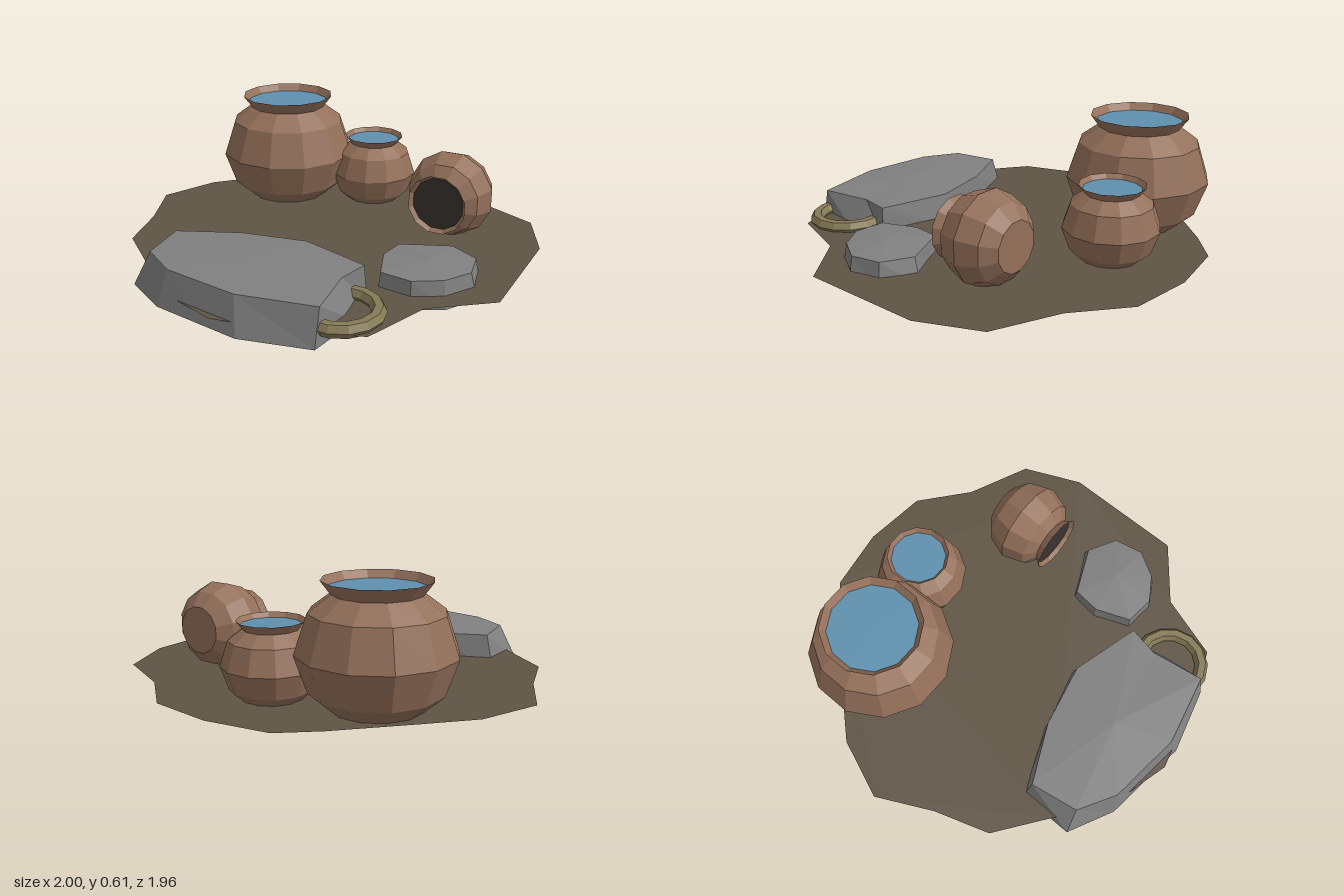
import * as THREE from 'three';

const paint = (color) => new THREE.MeshStandardMaterial({ color, flatShading: true, side: THREE.DoubleSide });
const clay = paint(0x94705a);
const soil = paint(0x5f5445);
const stone = paint(0x808080);
const water = paint(0x5f90ae);
const dark = paint(0x3a3330);
const brass = paint(0x857a55);

function part(name, geometry, material) {
  const mesh = new THREE.Mesh(geometry, material);
  mesh.name = name;
  return mesh;
}

// Twelve-sided round pot with a flared lip and a disc filling its mouth
function makePot(name, scale, fillName, fillMaterial) {
  const pot = new THREE.Group();
  pot.name = name;
  const profile = [
    [0, 0], [0.19, 0], [0.295, 0.09], [0.353, 0.255], [0.295, 0.43], [0.195, 0.505], [0.24, 0.565],
  ].map(([r, y]) => new THREE.Vector2(r, y));
  const body = part('potBody', new THREE.LatheGeometry(profile, 12), clay);
  const fill = part(fillName, new THREE.CircleGeometry(0.212, 12).rotateX(-Math.PI / 2), fillMaterial);
  fill.position.y = 0.53;
  body.rotation.y = fill.rotation.y = Math.PI / 12;
  pot.add(body, fill);
  pot.scale.setScalar(scale);
  return pot;
}

// Open-bottomed stone: sloping sides between two outlines and a shallow peaked top
function makeStone(name, base, top, height, peak) {
  const pos = [];
  const n = base.length;
  for (let i = 0; i < n; i++) {
    const j = (i + 1) % n;
    const bi = [base[i][0], 0, base[i][1]];
    const bj = [base[j][0], 0, base[j][1]];
    const ti = [top[i][0], height, top[i][1]];
    const tj = [top[j][0], height, top[j][1]];
    pos.push(...bi, ...ti, ...tj, ...bi, ...tj, ...bj, ...peak, ...tj, ...ti);
  }
  const geo = new THREE.BufferGeometry();
  geo.setAttribute('position', new THREE.Float32BufferAttribute(pos, 3));
  geo.computeVertexNormals();
  return part(name, geo, stone);
}

export function createModel() {
  const model = new THREE.Group();
  model.name = 'potsAndStones';

  // Flat irregular patch of earth
  const outline = [
    [0.02, -0.98], [0.335, -0.945], [0.57, -0.75], [0.875, -0.615], [1, -0.33], [1, 0.275],
    [0.745, 0.48], [0.64, 0.79], [0.45, 0.87], [0.02, 0.975], [-0.28, 0.89], [-0.52, 0.71],
    [-0.775, 0.52], [-0.865, 0.25], [-1, -0.02], [-0.89, -0.31], [-0.71, -0.51], [-0.45, -0.79],
    [-0.29, -0.93],
  ].map(([x, z]) => new THREE.Vector2(x, -z));
  const ground = part('groundPatch', new THREE.ShapeGeometry(new THREE.Shape(outline)).rotateX(-Math.PI / 2), soil);
  ground.position.y = 0.06;
  model.add(ground);

  // Two standing pots of water
  const largePot = makePot('largePot', 1, 'waterSurface', water);
  largePot.position.set(-0.455, 0.045, -0.433);
  const smallPot = makePot('smallPot', 0.64, 'waterSurface', water);
  smallPot.position.set(-0.005, 0.045, -0.583);

  // Empty pot lying on its side, mouth to the front
  const fallenPot = makePot('fallenPot', 0.61, 'darkMouth', dark);
  fallenPot.position.set(0.54, 0.258, -0.483);
  fallenPot.rotation.x = Math.PI / 2;
  model.add(largePot, smallPot, fallenPot);

  // Long slab and small stone
  model.add(makeStone('largeStone',
    [[-0.525, 0.525], [-0.2, 0.395], [0.11, 0.315], [0.46, 0.43], [0.497, 0.6],
      [0.46, 0.89], [0.14, 0.97], [-0.3, 0.915], [-0.525, 0.8]],
    [[-0.48, 0.54], [-0.2, 0.41], [0.11, 0.345], [0.45, 0.44], [0.42, 0.59],
      [0.46, 0.85], [0.11, 0.925], [-0.26, 0.88], [-0.44, 0.775]],
    0.172, [0.005, 0.19, 0.66]));
  model.add(makeStone('smallStone',
    [[0.685, -0.06], [0.835, 0.04], [0.875, 0.19], [0.79, 0.34], [0.655, 0.415],
      [0.49, 0.4], [0.42, 0.225], [0.445, 0.065]],
    [[0.675, -0.02], [0.815, 0.055], [0.845, 0.2], [0.77, 0.325], [0.65, 0.4],
      [0.5, 0.385], [0.435, 0.215], [0.45, 0.08]],
    0.127, [0.65, 0.146, 0.185]));

  // Ring half buried in the slab
  const ring = part('ring', new THREE.TorusGeometry(0.16, 0.034, 6, 14).rotateX(Math.PI / 2), brass);
  ring.position.set(0.46, 0.075, 0.68);
  model.add(ring);

  return model;
}
